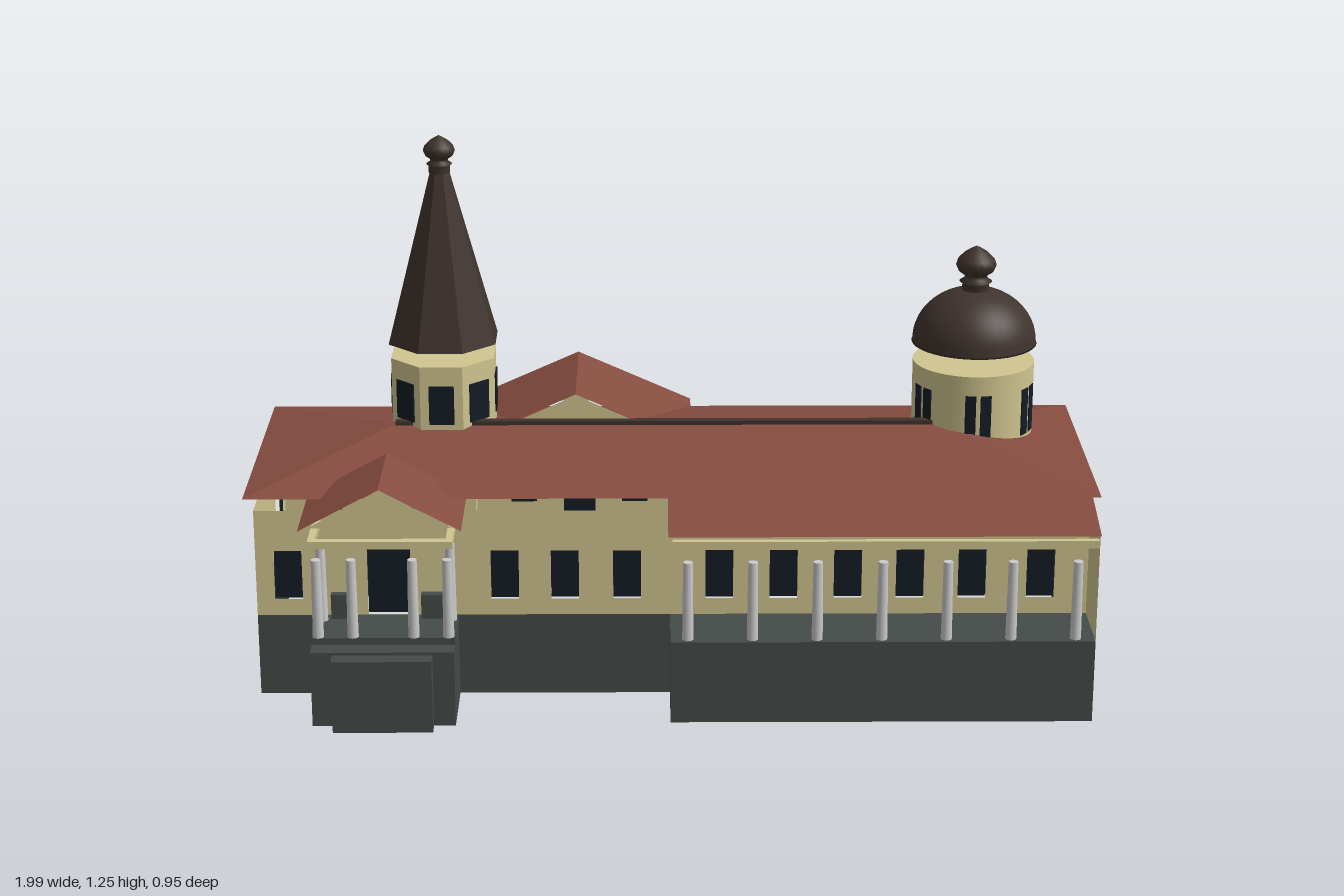
import * as THREE from 'three';

const mat = (color) => new THREE.MeshStandardMaterial({ color, side: THREE.DoubleSide });
const smooth = { roof: mat(0x864c40), wall: mat(0xd0c68f), stone: mat(0x444b48), dome: mat(0x3f332d), glass: mat(0x141c26), column: mat(0xcccccc) };
const flatDome = mat(0x3f332d);
const flatWall = mat(0xd0c68f);
flatDome.flatShading = flatWall.flatShading = true;

function add(parent, name, geometry, material, x = 0, y = 0, z = 0) {
  const mesh = new THREE.Mesh(geometry, material);
  mesh.name = name;
  mesh.position.set(x, y, z);
  parent.add(mesh);
  return mesh;
}

// Box given by its limits on each axis
function block(parent, name, material, [x0, x1], [y0, y1], [z0, z1]) {
  return add(parent, name, new THREE.BoxGeometry(x1 - x0, y1 - y0, z1 - z0), material,
    (x0 + x1) / 2, (y0 + y1) / 2, (z0 + z1) / 2);
}

// Flat-shaded surface from convex polygons
function polygons(...faces) {
  const points = [];
  for (const f of faces)
    for (let i = 1; i < f.length - 1; i++) points.push(...f[0], ...f[i], ...f[i + 1]);
  const g = new THREE.BufferGeometry();
  g.setAttribute('position', new THREE.Float32BufferAttribute(points, 3));
  g.computeVertexNormals();
  return g;
}

function rectangle(path, x0, x1, y0, y1) {
  path.moveTo(x0, y0);
  path.lineTo(x1, y0);
  path.lineTo(x1, y1);
  path.lineTo(x0, y1);
  path.closePath();
  return path;
}

// Upright wall between two plan points, with openings [distance, width, bottom, top]
function wall(parent, from, to, openings = []) {
  const dx = to[0] - from[0], dz = to[1] - from[1];
  const length = Math.hypot(dx, dz);
  const side = new THREE.Group();
  side.name = 'wallSide';
  side.position.set(from[0], 0, from[1]);
  side.rotation.y = Math.atan2(-dz, dx);
  parent.add(side);
  const shape = rectangle(new THREE.Shape(), 0, length, 0.2, 0.46);
  for (const [d, w, y0, y1] of openings) {
    shape.holes.push(rectangle(new THREE.Path(), d - w / 2, d + w / 2, y0, y1));
    add(side, w > 0.07 ? 'door' : 'windowPane', new THREE.PlaneGeometry(w, y1 - y0), smooth.glass, d, (y0 + y1) / 2, -0.01);
  }
  add(side, 'wall', new THREE.ShapeGeometry(shape), smooth.wall);
  add(side, 'baseWall', new THREE.PlaneGeometry(length, 0.2), smooth.stone, length / 2, 0.1, 0);
}
const win = (d) => [d, 0.065, 0.24, 0.36];
const door = (d) => [d, 0.1, 0.202, 0.39];

// Two roof slopes with a pediment at each end
function gable(parent, name, cx, half, eave, top, z0, z1, inset) {
  const L = cx - half, R = cx + half;
  add(parent, name + 'Roof', polygons(
    [[L, eave, z1], [cx, top, z1], [cx, top, z0], [L, eave, z0]],
    [[R, eave, z1], [R, eave, z0], [cx, top, z0], [cx, top, z1]]), smooth.roof);
  const tri = (z) => [[L + 0.02, eave, z], [R - 0.02, eave, z], [cx, top - 0.008, z]];
  add(parent, name + 'Pediment', polygons(tri(z1 - inset), tri(z0 + inset).reverse()), smooth.wall);
}

// Finial: neck, collar and onion ball, starting at height 0
function finial(parent, x, y, z, r) {
  const profile = [[0.7, 0], [0.7, 0.5], [0.85, 0.6], [0.6, 0.75], [0.6, 0.95], [0.9, 1.15], [1.05, 1.5], [0.95, 1.8], [0.6, 2.15], [0.2, 2.4], [0, 2.5]]
    .map(([a, b]) => new THREE.Vector2(a * r, b * r));
  add(parent, 'finial', new THREE.LatheGeometry(profile, 20), smooth.dome, x, y, z);
}

function column(parent, x, z) {
  add(parent, 'column', new THREE.CylinderGeometry(0.011, 0.013, 0.19, 12), smooth.column, x, 0.295, z);
}

export function createModel() {
  const model = new THREE.Group();
  model.name = 'building';
  const house = new THREE.Group();
  house.name = 'house';
  house.rotation.y = 0.023;
  model.add(house);

  // Outer walls on an open stone base
  const front = [-0.895, -0.39, -0.25, -0.105, 0.11, 0.26, 0.41, 0.555, 0.7, 0.86].map((x) => win(x + 0.97));
  const W = [[-0.97, 0.235], [0.97, 0.235], [0.97, -0.365], [0.01, -0.365], [0.01, -0.42], [-0.49, -0.42], [-0.49, -0.365], [-0.97, -0.365]];
  const openings = [
    [...front, door(0.31)], [win(0.18), win(0.44)], [win(0.12), win(0.29), win(0.66), win(0.85)], [],
    [win(0.1), [0.24, 0.08, 0.202, 0.38], win(0.38)], [], [win(0.13), win(0.37)], [win(0.16), win(0.42)]];
  W.forEach((p, i) => wall(house, p, W[(i + 1) % W.length], openings[i]));

  // Hipped main roof, continued over the front veranda
  const A = [-0.99, 0.5, 0.265], B = [0.99, 0.5, 0.265], C = [0.99, 0.5, -0.395], D = [-0.99, 0.5, -0.395];
  const P = [-0.66, 0.57, -0.065], Q = [0.66, 0.57, -0.065];
  add(house, 'mainRoof', polygons([A, B, Q, P], [B, C, Q], [C, D, P, Q], [D, A, P]), smooth.roof);
  add(house, 'verandaRoof', polygons([[-0.01, 0.466, 0.425], [0.97, 0.466, 0.425], [0.97, 0.5, 0.265], [-0.01, 0.5, 0.265]]), smooth.roof);
  block(house, 'ridgeCap', smooth.dome, [-0.66, 0.66], [0.564, 0.578], [-0.075, -0.055]);

  // Veranda with its end wall and columns
  block(house, 'verandaBase', smooth.stone, [-0.005, 0.97], [0, 0.2], [0.235, 0.405]);
  wall(house, [0.97, 0.405], [0.97, 0.235]);
  block(house, 'verandaBeam', smooth.wall, [0, 0.97], [0.427, 0.445], [0.385, 0.4]);
  for (let i = 0; i < 7; i++) column(house, 0.035 + i * 0.1485, 0.385);

  // Front portico with steps, parapets and pediment
  block(house, 'porticoBase', smooth.stone, [-0.83, -0.5], [0, 0.2], [0.235, 0.375]);
  block(house, 'porticoStep', smooth.stone, [-0.83, -0.5], [0, 0.183], [0.375, 0.42]);
  block(house, 'porticoStep', smooth.stone, [-0.78, -0.55], [0, 0.176], [0.42, 0.458]);
  block(house, 'porticoBeam', smooth.wall, [-0.83, -0.5], [0.427, 0.445], [0.375, 0.395]);
  for (const s of [-1, 1]) {
    const c = -0.665 + s * 0.105;
    block(house, 'parapet', smooth.stone, [c - 0.025, c + 0.025], [0.2, 0.26], [0.24, 0.26]);
    block(house, 'porticoSideBeam', smooth.wall, [-0.673 + s * 0.157, -0.657 + s * 0.157], [0.427, 0.445], [0.235, 0.375]);
    for (const [x, z] of [[0.15, 0.365], [0.07, 0.365], [0.15, 0.265]]) column(house, -0.665 + s * x, z);
  }
  gable(house, 'portico', -0.663, 0.185, 0.48, 0.58, 0.18, 0.42, 0.02);

  // Rear wing gable and steps
  gable(house, 'rearWing', -0.23, 0.28, 0.5, 0.625, -0.452, -0.115, 0.015);
  block(house, 'rearStep', smooth.stone, [-0.35, -0.12], [0, 0.184], [-0.45, -0.42]);
  block(house, 'rearStep', smooth.stone, [-0.34, -0.13], [0, 0.172], [-0.478, -0.45]);

  // Octagonal tower with spire
  const tower = new THREE.Group();
  tower.name = 'spireTower';
  tower.position.set(-0.547, 0, -0.158);
  house.add(tower);
  const octagon = (name, rt, rb, h, m, y) => {
    add(tower, name, new THREE.CylinderGeometry(rt, rb, h, 8), m, 0, y, 0).rotation.y = Math.PI / 8;
  };
  octagon('towerWall', 0.133, 0.133, 0.25, flatWall, 0.595);
  octagon('spire', 0.022, 0.138, 0.42, flatDome, 0.965);
  finial(tower, 0, 1.165, 0, 0.036);
  for (let i = 0; i < 8; i++) {
    const a = (i * Math.PI) / 4;
    add(tower, 'towerWindow', new THREE.BoxGeometry(0.06, 0.095, 0.006), smooth.glass,
      Math.sin(a) * 0.1235, 0.625, Math.cos(a) * 0.1235).rotation.y = a;
  }

  // Round tower with dome
  const round = new THREE.Group();
  round.name = 'domeTower';
  round.position.set(0.729, 0, -0.158);
  house.add(round);
  add(round, 'towerWall', new THREE.CylinderGeometry(0.146, 0.146, 0.23, 40), smooth.wall, 0, 0.585, 0);
  const curve = [[0, 0.745], [0.15, 0.745]].map(([r, y]) => new THREE.Vector2(r, y));
  for (let i = 0; i <= 12; i++) {
    const a = (i / 12) * Math.PI / 2;
    curve.push(new THREE.Vector2(0.148 * Math.cos(a), 0.75 + 0.128 * Math.sin(a)));
  }
  add(round, 'dome', new THREE.LatheGeometry(curve, 40), smooth.dome);
  finial(round, 0, 0.868, 0, 0.046);
  for (let i = 0; i < 12; i++) {
    const a = Math.floor(i / 2) * Math.PI / 3 + (i % 2 ? 0.125 : -0.125);
    add(round, 'towerWindow', new THREE.BoxGeometry(0.026, 0.115, 0.008), smooth.glass,
      Math.sin(a) * 0.144, 0.595, Math.cos(a) * 0.144).rotation.y = a;
  }
  return model;
}
